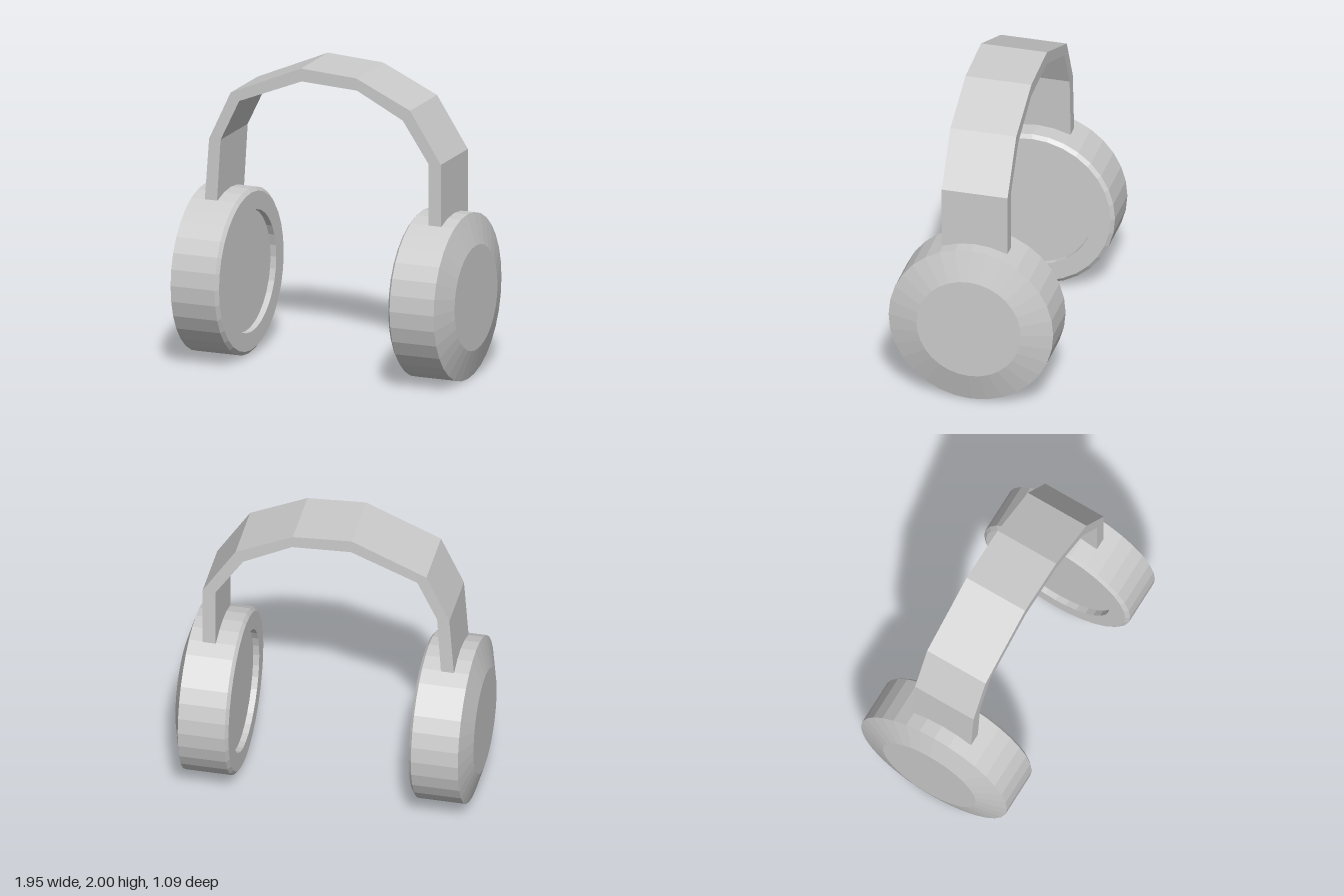
import * as THREE from 'three';

const material = new THREE.MeshStandardMaterial({ color: 0xcccccc, flatShading: true });

// Ear cup turned around the x axis; side is +1 (left) or -1 (right)
function makeEarCup(side, y, name) {
  // radius, distance from the model's centre: recess, rim, chamfer, wall, bevelled cap
  const profile = [
    [0, 0.63], [0.4, 0.63], [0.4, 0.59], [0.52, 0.59],
    [0.545, 0.61], [0.545, 0.917], [0.345, 0.976], [0, 0.976],
  ].map(([r, d]) => new THREE.Vector2(r, d));
  const geometry = new THREE.LatheGeometry(profile, 32);
  geometry.rotateZ(-side * Math.PI / 2);
  const cup = new THREE.Mesh(geometry, material);
  cup.position.y = y;
  cup.name = name;
  return cup;
}

// Faceted, slightly uneven headband extruded along z
function makeHeadband() {
  const outer = [
    [-0.82, 1.065], [-0.79, 1.47], [-0.64, 1.79], [-0.15, 2],
    [0.235, 1.975], [0.61, 1.8], [0.825, 1.465], [0.825, 1.055],
  ];
  const inner = [
    [0.74, 1.055], [0.74, 1.46], [0.56, 1.73], [0.24, 1.895],
    [-0.145, 1.915], [-0.58, 1.74], [-0.71, 1.47], [-0.735, 1.065],
  ];
  const shape = new THREE.Shape([...outer, ...inner].map(([x, y]) => new THREE.Vector2(x, y)));
  const geometry = new THREE.ExtrudeGeometry(shape, { depth: 0.436, bevelEnabled: false });
  geometry.translate(0, 0, -0.218);
  const band = new THREE.Mesh(geometry, material);
  band.name = 'headband';
  return band;
}

export function createModel() {
  const model = new THREE.Group();
  model.name = 'headphones';
  model.add(
    makeHeadband(),
    makeEarCup(1, 0.55, 'leftEarCup'),
    makeEarCup(-1, 0.56, 'rightEarCup'),
  );
  return model;
}
